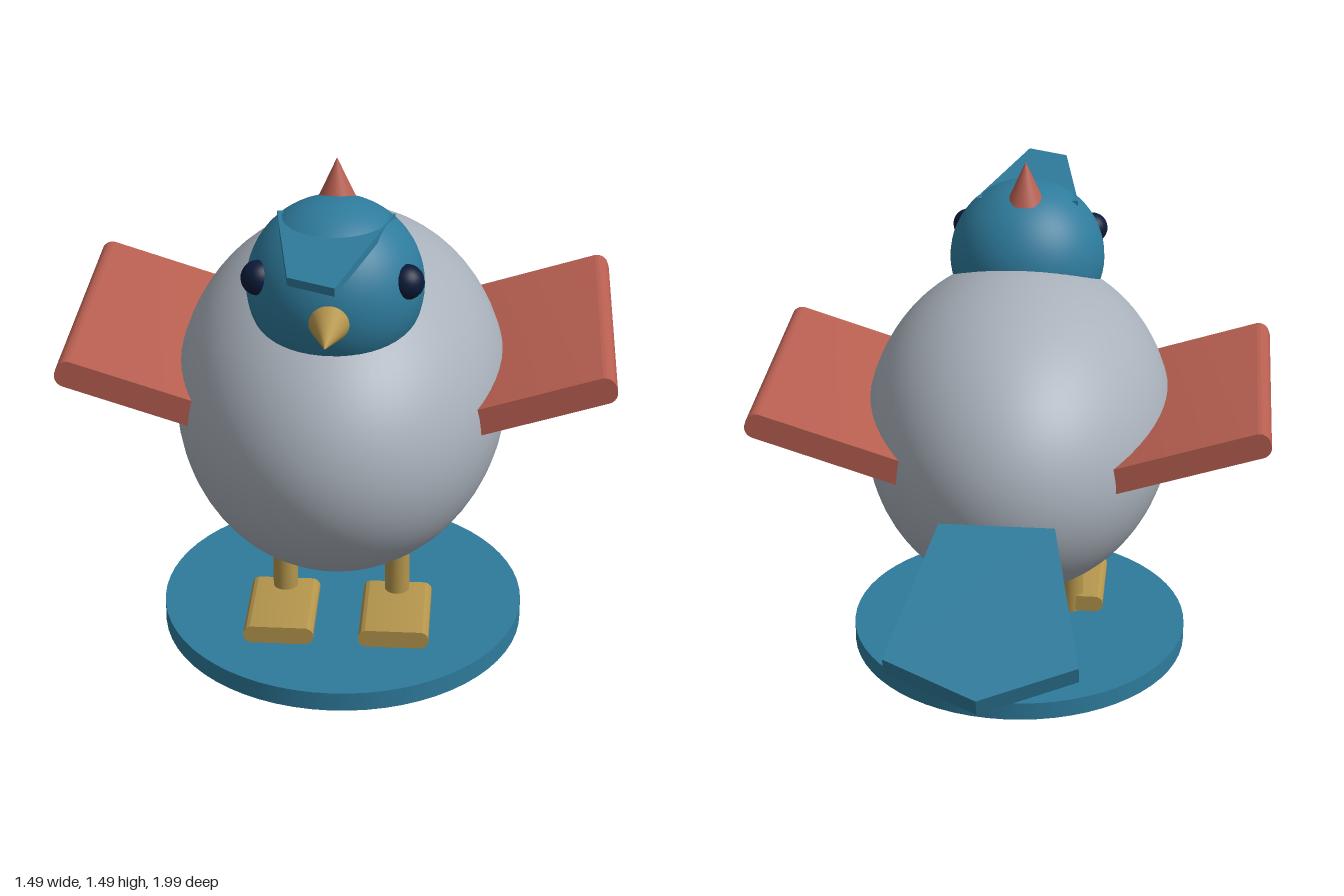
import * as THREE from 'three';
import { toCreasedNormals } from 'three/addons/utils/BufferGeometryUtils.js';

const mat = (name, color) => new THREE.MeshStandardMaterial({ name, color });

// Rectangle outline with rounded corners
function roundedRect(x0, y0, x1, y1, r) {
  const s = new THREE.Shape();
  s.moveTo(x0 + r, y0);
  s.lineTo(x1 - r, y0);
  s.absarc(x1 - r, y0 + r, r, -Math.PI / 2, 0);
  s.lineTo(x1, y1 - r);
  s.absarc(x1 - r, y1 - r, r, 0, Math.PI / 2);
  s.lineTo(x0 + r, y1);
  s.absarc(x0 + r, y1 - r, r, Math.PI / 2, Math.PI);
  s.lineTo(x0, y0 + r);
  s.absarc(x0 + r, y0 + r, r, Math.PI, Math.PI * 1.5);
  return s;
}

// Extrusion centred along z, smooth on its rounded edges
function bar(shape, depth) {
  const g = new THREE.ExtrudeGeometry(shape, { depth, bevelEnabled: false, curveSegments: 8 });
  g.translate(0, 0, -depth / 2);
  return toCreasedNormals(g, 0.6);
}

// Flat plate from [x, z] corners, with its top at y = 0
function plate(corners, thickness) {
  const shape = new THREE.Shape(corners.map(([x, z]) => new THREE.Vector2(x, -z)));
  const g = new THREE.ExtrudeGeometry(shape, { depth: thickness, bevelEnabled: false });
  return g.rotateX(-Math.PI / 2).translate(0, -thickness, 0);
}

export function createModel() {
  const model = new THREE.Group();
  model.name = 'bird';
  const blue = mat('blue', 0x2e7b9c);
  const grey = mat('grey', 0xa9b1bb);
  const red = mat('red', 0xb85f51);
  const gold = mat('gold', 0xb4954c);
  const navy = mat('navy', 0x0b1a38);

  const add = (name, geometry, material, x, y, z) => {
    const m = new THREE.Mesh(geometry, material);
    m.name = name;
    m.position.set(x, y, z);
    model.add(m);
    return m;
  };

  // Stand
  add('stand', new THREE.CylinderGeometry(0.514, 0.514, 0.056, 64), blue, 0, 0.028, 0.3);

  // Body and head
  add('body', new THREE.SphereGeometry(1, 64, 40), grey, 0, 0.736, 0.297).scale.set(0.457, 0.471, 0.632);
  add('head', new THREE.SphereGeometry(0.233, 48, 32), blue, 0, 1.166, 0.558);

  // Cap brim, crest and beak
  add('brim', plate([[-0.153, 0.53], [0.153, 0.53], [0.03, 0.995], [-0.09, 0.94]], 0.022), blue, 0, 1.354, 0);
  add('crest', new THREE.ConeGeometry(0.056, 0.125, 32), red, 0, 1.4255, 0.487);
  add('beak', new THREE.ConeGeometry(0.057, 0.16, 32).rotateX(Math.PI / 2), gold, 0, 1.156, 0.85);

  // Tail, sloping down to the back
  const tail = plate([[-0.16, 0], [0.16, 0], [0.256, -0.48], [0, -0.602], [-0.256, -0.48]], 0.056);
  add('tail', tail, blue, 0, 0.765, -0.434).rotation.x = -0.35;

  const wing = bar(roundedRect(-0.2, -0.038, 0.368, 0.038, 0.032), 0.784);
  const foot = bar(roundedRect(-0.098, -0.026, 0.098, 0.026, 0.024), 0.263);
  const leg = new THREE.CylinderGeometry(0.035, 0.035, 0.3, 24);
  const eye = new THREE.SphereGeometry(0.046, 24, 16);
  const tilt = 0.312;

  // Paired parts
  for (const [side, s] of [['left', 1], ['right', -1]]) {
    add(side + 'Eye', eye, navy, s * 0.19, 1.222, 0.661);
    add(side + 'Wing', wing, red, s * 0.39, 0.802, 0.23).rotation.z = s > 0 ? tilt : Math.PI - tilt;
    add(side + 'Leg', leg, gold, s * 0.16, 0.211, 0.363);
    add(side + 'Foot', foot, gold, s * 0.161, 0.091, 0.463);
  }
  return model;
}
